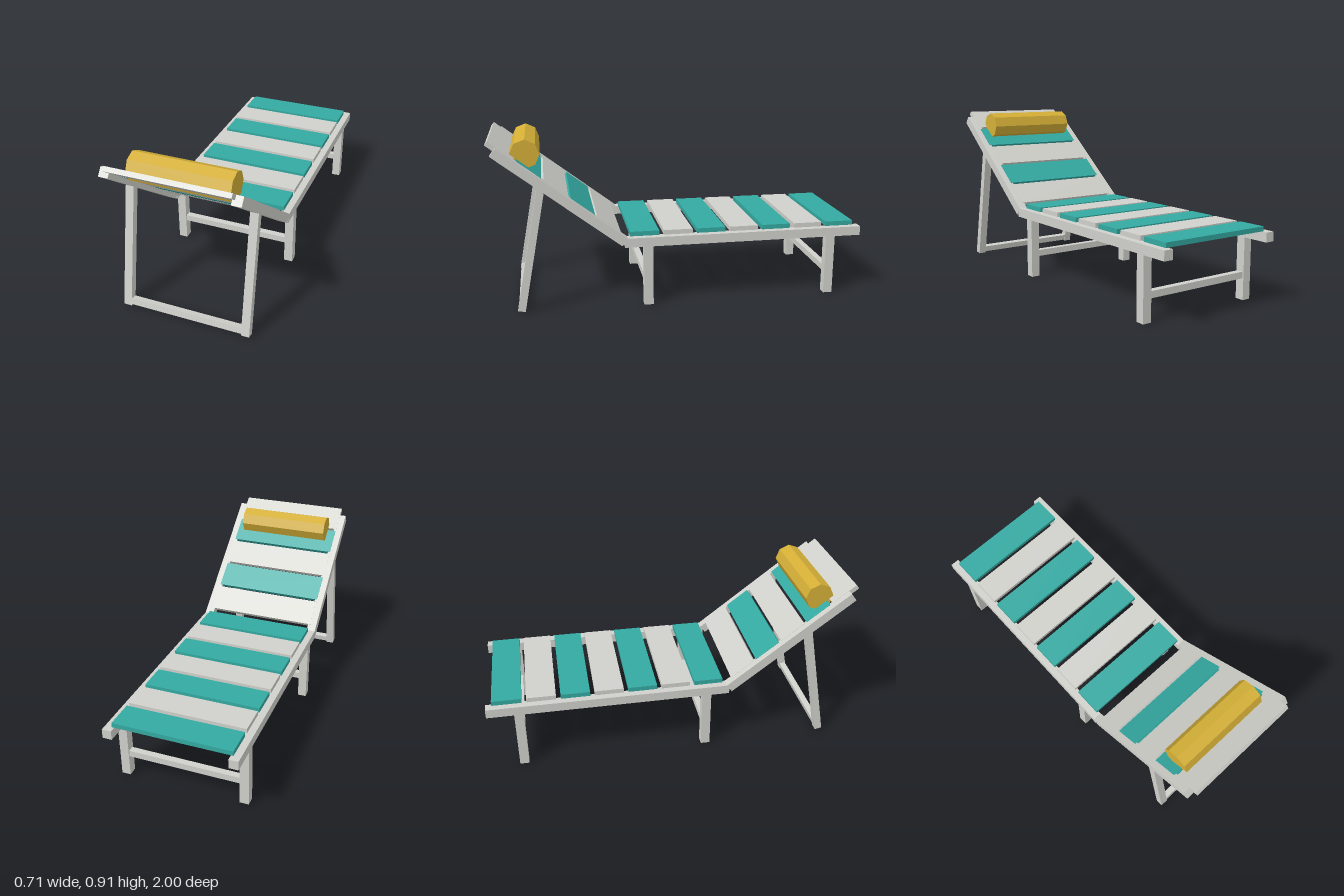
import * as THREE from 'three';

export function createModel() {
  const model = new THREE.Group();
  model.name = 'sunLounger';

  const paint = (name, color) => {
    const m = new THREE.MeshStandardMaterial({ color });
    m.name = name;
    return m;
  };
  const grey = paint('paleGrey', 0xd0d0cb);
  const teal = paint('teal', 0x33a9a1);
  const gold = paint('gold', 0xd4af37);

  const box = (parent, name, material, size, position) => {
    const mesh = new THREE.Mesh(new THREE.BoxGeometry(...size), material);
    mesh.name = name;
    mesh.position.set(...position);
    parent.add(mesh);
    return mesh;
  };
  const group = (name, position, angle) => {
    const g = new THREE.Group();
    g.name = name;
    g.position.set(...position);
    g.rotation.x = -THREE.MathUtils.degToRad(angle);
    model.add(g);
    return g;
  };

  const railX = 0.328, beam = 0.05, slatW = 0.632, slatT = 0.025;

  // Flat bed: side rails, striped slats and legs
  const bed = group('bed', [0, 0, 0], 0);
  for (const s of [1, -1]) {
    const side = s > 0 ? 'left' : 'right';
    box(bed, side + 'BedRail', grey, [beam, beam, 1.31], [s * railX, 0.355, -0.345]);
    for (const z of [0.185, -0.83])
      box(bed, side + 'BedLeg', grey, [0.048, 0.34, beam], [s * railX, 0.17, z]);
  }
  for (const z of [0.185, -0.83])
    box(bed, 'bedCrossbar', grey, [0.61, 0.035, 0.035], [0, 0.132, z]);
  for (let i = 0; i < 7; i++)
    box(bed, 'bedSlat', i % 2 ? grey : teal, [slatW, slatT, 0.157],
      [0, 0.3925, -0.889 + i * 0.1815]);

  // Tilted backrest: slats let in flush with the rails
  const back = group('backrest', [0, 0.6105, 0.6355], 37.6);
  for (const s of [1, -1])
    box(back, s > 0 ? 'leftBackRail' : 'rightBackRail', grey, [beam, beam, 0.824], [s * railX, 0, 0]);
  for (let i = 0; i < 5; i++)
    box(back, 'backSlat', i % 2 ? teal : grey, [slatW, slatT, 0.155],
      [0, 0.0135, 0.3835 - i * 0.169]);

  // Leaning support frame behind the backrest
  const prop = group('backSupport', [0, 0.338, 0.798], 10.8);
  for (const s of [1, -1])
    box(prop, s > 0 ? 'leftSupportLeg' : 'rightSupportLeg', grey, [0.044, 0.672, 0.04], [s * railX, 0, 0]);
  box(prop, 'supportCrossbar', grey, [0.65, 0.034, 0.034], [0, -0.312, 0]);

  // Eight-sided head roll
  const roll = new THREE.CylinderGeometry(0.0765, 0.0765, 0.53, 8).rotateZ(Math.PI / 2).toNonIndexed();
  roll.computeVertexNormals();
  const pillow = new THREE.Mesh(roll, gold);
  pillow.name = 'headPillow';
  pillow.position.set(0, 0.831, 0.808);
  pillow.rotation.x = -0.04;
  model.add(pillow);

  return model;
}
